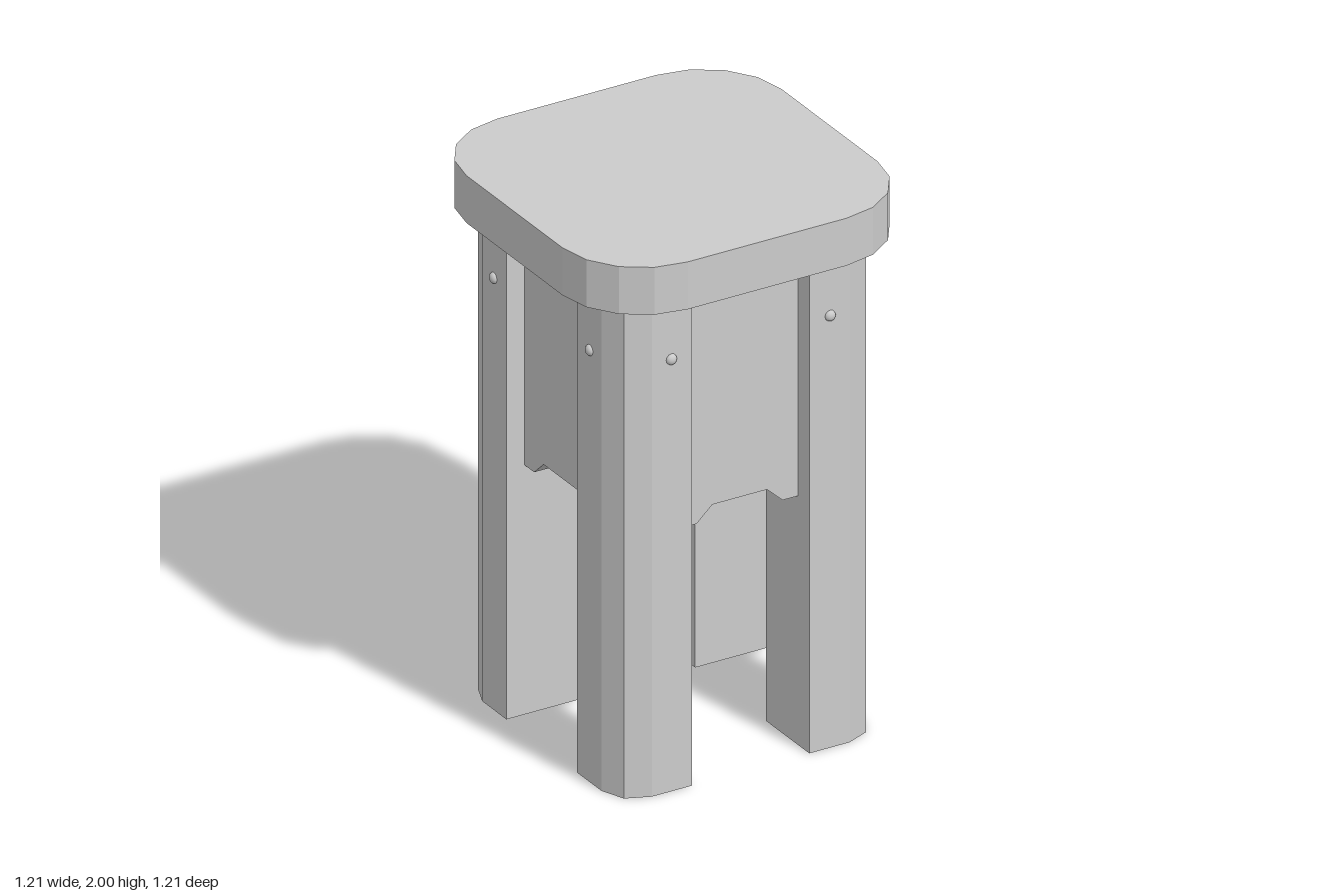
import * as THREE from 'three';

const material = new THREE.MeshStandardMaterial({ color: 0xcccccc, flatShading: true });
const smooth = new THREE.MeshStandardMaterial({ color: 0xcccccc });

// Points of a quarter round corner, starting at the given angle
function corner(cx, cy, radius, start, segments) {
  return Array.from({ length: segments + 1 }, (_, i) => {
    const a = start + (i / segments) * Math.PI / 2;
    return new THREE.Vector2(cx + radius * Math.cos(a), cy + radius * Math.sin(a));
  });
}

function extrude(points, depth) {
  return new THREE.ExtrudeGeometry(new THREE.Shape(points), { depth, bevelEnabled: false });
}

function add(parent, name, geometry, mat = material) {
  const mesh = new THREE.Mesh(geometry, mat);
  mesh.name = name;
  parent.add(mesh);
  return mesh;
}

export function createModel() {
  const stool = new THREE.Group();
  stool.name = 'stool';
  const legHeight = 1.825, legInner = 0.225, legOuter = 0.5;

  // Seat: square slab with faceted round corners
  const c = 0.305;
  const outline = [[c, c], [-c, c], [-c, -c], [c, -c]]
    .flatMap(([x, y], i) => corner(x, y, 0.3, i * Math.PI / 2, 4));
  const seat = extrude(outline, 2 - legHeight);
  seat.rotateX(-Math.PI / 2).translate(0, legHeight, 0);
  add(stool, 'seat', seat);

  // Leg: square post, outer corner rounded in two facets
  const leg = extrude([
    new THREE.Vector2(legInner, legInner),
    new THREE.Vector2(legOuter, legInner),
    ...corner(0.38, 0.38, 0.12, 0, 2),
    new THREE.Vector2(legInner, legOuter),
  ], legHeight);
  leg.rotateX(-Math.PI / 2);

  // Apron: set-back panel with a chamfered notch in its lower edge
  const apron = extrude([
    [-legInner, 0.92], [-0.165, 0.92], [-0.105, 0.975], [0.105, 0.975],
    [0.165, 0.92], [legInner, 0.92], [legInner, legHeight], [-legInner, legHeight],
  ].map(([x, y]) => new THREE.Vector2(x, y)), 0.1);
  apron.translate(0, 0, 0.33);

  // Screw head: shallow dome
  const screw = new THREE.SphereGeometry(0.02, 12, 5, 0, Math.PI * 2, 0, Math.PI / 2);
  screw.rotateX(Math.PI / 2).scale(1, 1, 0.75);

  // Each side carries one leg, one apron and two screws
  for (let i = 0; i < 4; i++) {
    const side = new THREE.Group();
    side.name = 'side' + (i + 1);
    side.rotation.y = i * Math.PI / 2;
    add(side, 'leg', leg);
    add(side, 'apron', apron);
    for (const s of [-1, 1]) add(side, 'screw', screw, smooth).position.set(s * 0.305, 1.595, legOuter);
    stool.add(side);
  }
  return stool;
}
